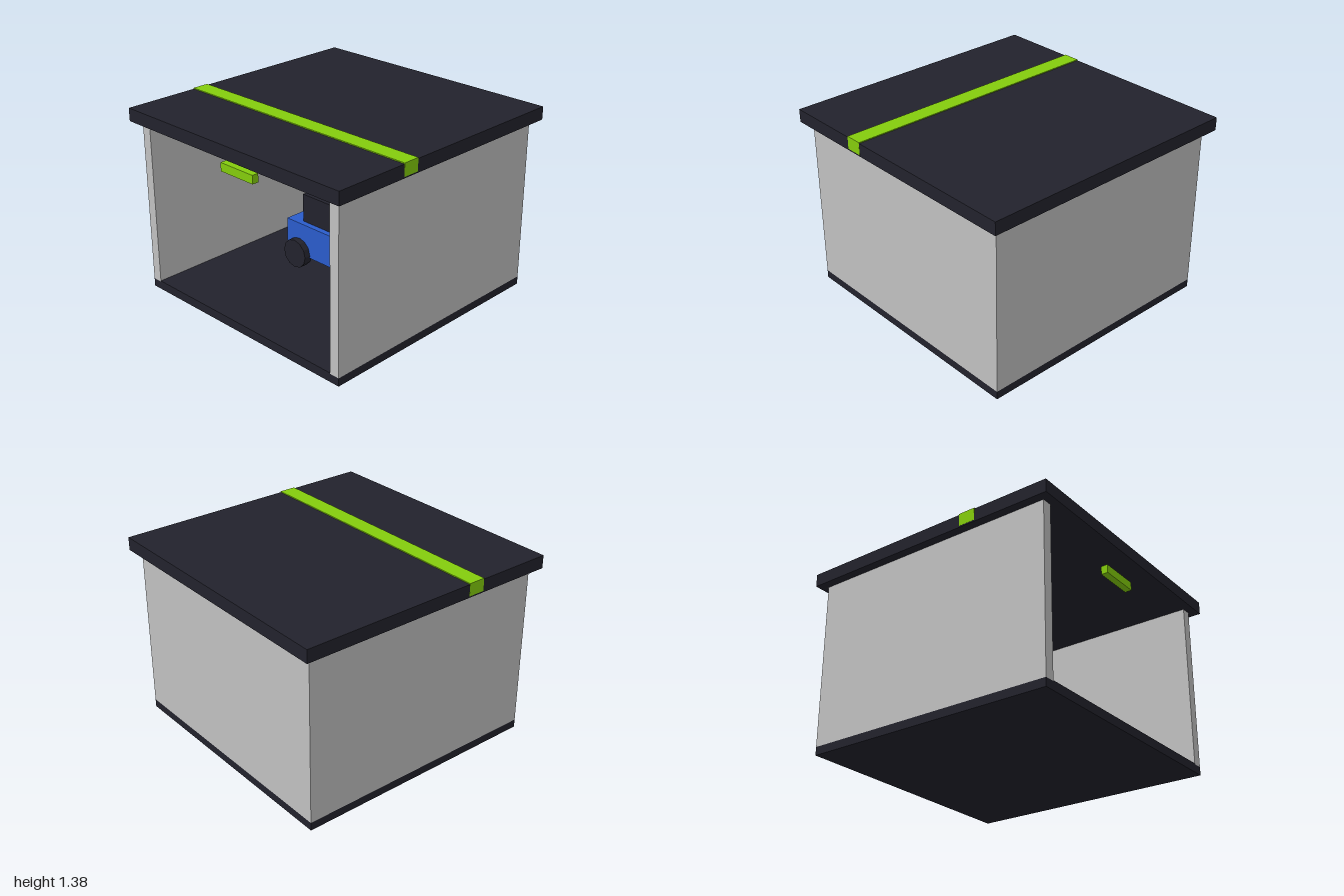
import * as THREE from 'three';

const mat = (name, color) => {
  const m = new THREE.MeshStandardMaterial({ color });
  m.name = name;
  return m;
};

export function createModel() {
  const dark = mat('charcoal', 0x22222c);
  const grey = mat('wall grey', 0xc0c0c0);
  const lime = mat('lime green', 0x84cc0c);
  const blue = mat('car blue', 0x2a5ccb);
  const glass = mat('glass blue', 0x7da0d0);

  const model = new THREE.Group();
  model.name = 'garage';

  // Box given by its minimum and maximum corners
  const box = (name, material, [x0, y0, z0], [x1, y1, z1], parent = model) => {
    const mesh = new THREE.Mesh(new THREE.BoxGeometry(x1 - x0, y1 - y0, z1 - z0), material);
    mesh.position.set((x0 + x1) / 2, (y0 + y1) / 2, (z0 + z1) / 2);
    mesh.name = name;
    parent.add(mesh);
    return mesh;
  };

  // Building shell, open at the front
  const H = 0.9375, T = 0.075, Y0 = 0.06, Y1 = 1.28;
  box('base', dark, [-H, 0, -H], [H, Y0, H]);
  box('floor', dark, [-H + T, Y0, -H + T], [H - T, 0.066, H]);
  box('rightWall', grey, [-H, Y0, -H], [-H + T, Y1, H]);
  box('leftWall', grey, [H - T, Y0, -H], [H, Y1, H]);
  box('backWall', grey, [-H + T, Y0, -H], [H - T, Y1, -H + T]);
  box('roof', dark, [-1, Y1, -1], [1, 1.375, 1]);

  // Lime trim: stripe across the roof and sign over the entrance
  box('roofStripe', lime, [-1.001, 1.29, 0.31], [1.001, 1.382, 0.435]);
  box('entranceSign', lime, [-0.155, 1.13, 0.86], [0.152, 1.192, 0.91]);

  // Car parked sideways, centred on its own z
  const car = new THREE.Group();
  car.name = 'car';
  car.position.z = -0.095;
  model.add(car);
  box('carBody', blue, [-0.406, 0.19, -0.195], [0.406, 0.44, 0.195], car);
  box('carCabin', dark, [-0.283, 0.44, -0.15], [0.153, 0.655, 0.15], car);

  // Tilted windscreen, its foot sunk into the body
  const screen = box('windscreen', glass, [-0.109, -0.2, -0.16], [0.109, 0, 0.16], car);
  screen.geometry.translate(0, -0.1, 0);
  screen.position.set(0.181, 0.566, 0);
  screen.rotation.z = -0.3;

  // Wheels
  const wheelGeo = new THREE.CylinderGeometry(0.11, 0.11, 0.07, 12).toNonIndexed();
  wheelGeo.rotateX(Math.PI / 2);
  wheelGeo.computeVertexNormals();
  for (const x of [-0.282, 0.282]) {
    for (const z of [-0.21, 0.21]) {
      const wheel = new THREE.Mesh(wheelGeo, dark);
      wheel.name = 'wheel';
      wheel.position.set(x, 0.208, z);
      car.add(wheel);
    }
  }

  return model;
}
